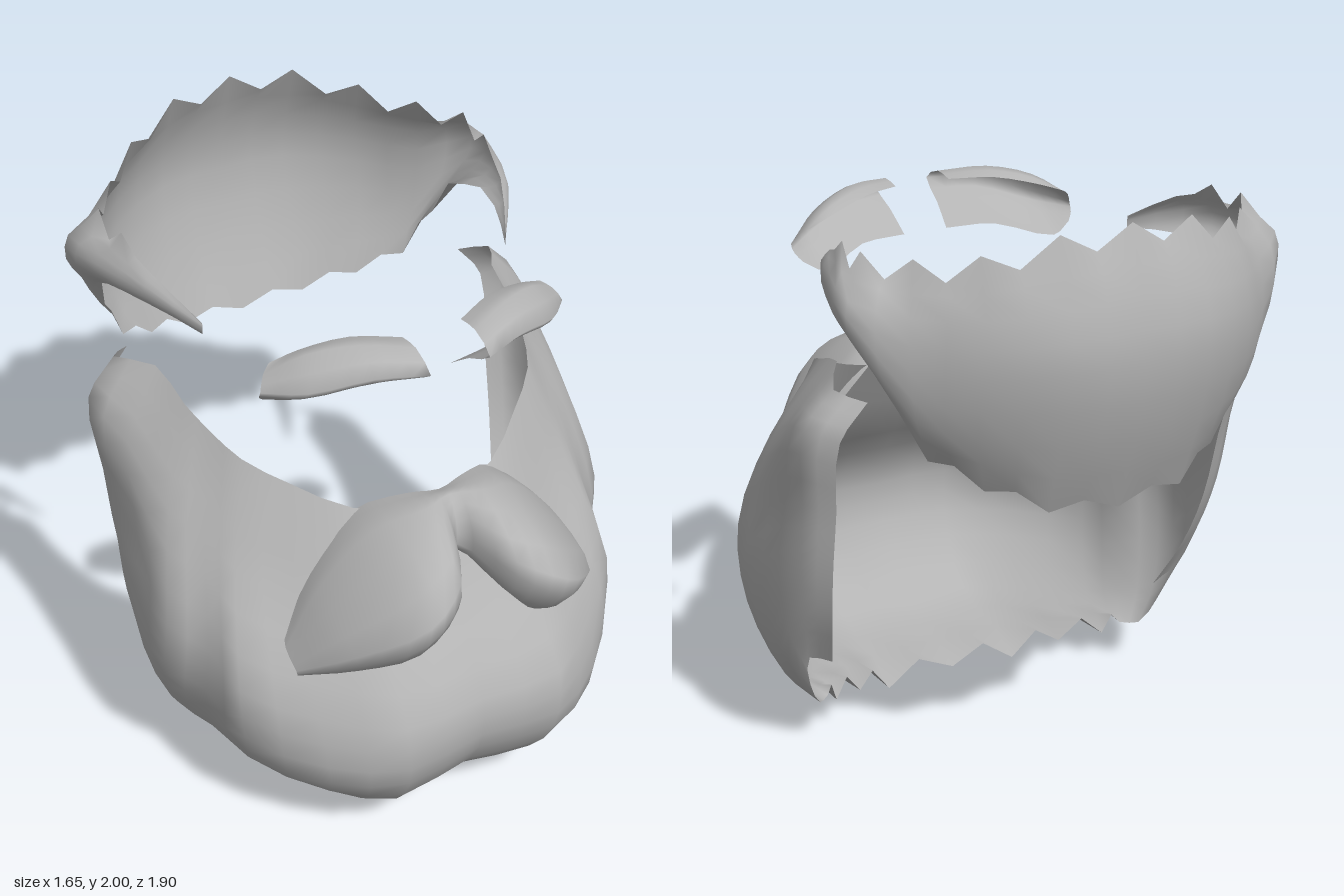
import * as THREE from 'three';

const hairGrey = new THREE.MeshStandardMaterial({ color: 0xb4b4b4, side: THREE.DoubleSide });
hairGrey.name = 'hair grey';

const V = (p) => new THREE.Vector3(...p);
const flipX = (col) => col.map(([x, y, z]) => [-x, y, z]);

// Full set of columns from the +x half (first column on the centre line)
const mirrored = (half) => [...half.slice(1).reverse().map(flipX), ...half];

// Smooth open sheet through columns of points; edge(points, i, n) may ruffle each column
function sheet(name, columns, uSteps, vSteps, { flip = false, edge } = {}) {
  const rows = columns[0].map((_, j) => new THREE.CatmullRomCurve3(columns.map((c) => V(c[j]))));
  const nu = (columns.length - 1) * uSteps, nv = (columns[0].length - 1) * vSteps;
  const pos = [], idx = [];
  for (let i = 0; i <= nu; i++) {
    const pts = new THREE.CatmullRomCurve3(rows.map((r) => r.getPoint(i / nu))).getPoints(nv);
    if (edge) edge(pts, i, nu);
    pts.forEach((p) => pos.push(p.x, p.y, p.z));
  }
  for (let i = 0; i < nu; i++) {
    for (let j = 0; j < nv; j++) {
      const a = i * (nv + 1) + j, b = a + 1, c = a + nv + 1, d = c + 1;
      idx.push(...(flip ? [a, c, b, b, c, d] : [a, b, c, b, d, c]));
    }
  }
  const g = new THREE.BufferGeometry();
  g.setAttribute('position', new THREE.Float32BufferAttribute(pos, 3));
  g.setIndex(idx);
  g.computeVertexNormals();
  const mesh = new THREE.Mesh(g, hairGrey);
  mesh.name = name;
  return mesh;
}

// Beard: columns from the chin centre round to the ear, top edge to bottom edge
const beardHalf = [
  [[0, 1.14, .54], [0, .88, .69], [0, .6, .88], [0, .38, .87], [0, .13, .66], [0, .07, .3]],
  [[.25, 1.18, .47], [.26, .88, .66], [.28, .6, .89], [.27, .36, .89], [.25, .12, .7], [.25, .05, .31]],
  [[.4, 1.25, .36], [.47, .92, .5], [.5, .6, .72], [.49, .36, .77], [.42, .14, .56], [.4, .11, .23]],
  [[.52, 1.32, .25], [.61, 1, .37], [.69, .66, .54], [.67, .38, .53], [.58, .18, .34], [.53, .15, .14]],
  [[.57, 1.37, .13], [.66, 1.08, .26], [.72, .72, .38], [.72, .45, .34], [.65, .22, .22], [.58, .16, .1]],
  [[.6, 1.41, .02], [.73, 1.13, .15], [.81, .78, .27], [.81, .52, .22], [.73, .28, .11], [.63, .17, .05]],
  [[.62, 1.46, -.15], [.76, 1.25, -.08], [.79, .95, .02], [.82, .65, .05], [.78, .42, .02], [.68, .27, .01]],
  [[.7, 1.43, -.3], [.8, 1.31, -.29], [.79, 1.05, -.24], [.78, .8, -.19], [.75, .6, -.13], [.7, .4, -.04]],
];
// Back rim of the beard, turned in behind the ear column
const beardRim = beardHalf[7].map(([x, y, z]) => [x * .89, y - .03, z * 1.25]);

// Back hair: columns from the nape centre round to the temple
const hairHalf = [
  [[0, 1.965, -.85], [0, 1.8, -.92], [0, 1.6, -.95], [0, 1.35, -.9], [0, 1.12, -.81]],
  [[.22, 1.95, -.82], [.23, 1.78, -.9], [.23, 1.6, -.93], [.24, 1.35, -.87], [.23, 1.14, -.79]],
  [[.42, 1.89, -.72], [.44, 1.75, -.79], [.46, 1.58, -.8], [.45, 1.38, -.76], [.4, 1.21, -.7]],
  [[.56, 1.86, -.57], [.6, 1.74, -.63], [.61, 1.58, -.65], [.59, 1.42, -.64], [.54, 1.3, -.61]],
  [[.66, 1.86, -.43], [.74, 1.78, -.51], [.75, 1.69, -.52], [.7, 1.6, -.53], [.62, 1.48, -.55]],
  [[.65, 1.85, -.28], [.71, 1.8, -.32], [.73, 1.74, -.33], [.7, 1.69, -.34], [.66, 1.65, -.41]],
  [[.62, 1.81, -.12], [.65, 1.78, -.12], [.65, 1.74, -.12], [.64, 1.71, -.13], [.62, 1.69, -.15]],
  [[.54, 1.71, .05], [.54, 1.7, .05], [.54, 1.69, .05], [.54, 1.68, .05], [.54, 1.67, .05]],
];

// Moustache: columns from under the nose out to the drooping tip
const moustacheHalf = [
  [[0, 1.23, .57], [0, 1.25, .63], [0, 1.17, .68], [0, 1.07, .68], [0, 1.07, .6]],
  [[.1, 1.23, .54], [.1, 1.25, .66], [.1, 1.12, .88], [.1, .97, .84], [.1, .98, .68]],
  [[.25, 1.16, .46], [.25, 1.18, .6], [.24, 1.05, .95], [.23, .82, .8], [.25, .86, .67]],
  [[.41, .99, .47], [.42, 1, .57], [.42, .9, .81], [.37, .755, .71], [.36, .8, .6]],
  [[.53, .82, .54], [.54, .8, .57], [.54, .76, .64], [.53, .73, .63], [.51, .74, .59]],
];

// Eyebrow: columns from the inner end to the outer end
const brow = [
  [[.1, 1.785, .5], [.1, 1.795, .58], [.1, 1.75, .67], [.09, 1.69, .57], [.08, 1.62, .48]],
  [[.24, 1.79, .43], [.25, 1.81, .51], [.25, 1.75, .61], [.25, 1.69, .54], [.25, 1.62, .45]],
  [[.38, 1.76, .38], [.39, 1.78, .44], [.42, 1.7, .52], [.43, 1.64, .45], [.43, 1.58, .35]],
  [[.47, 1.73, .36], [.5, 1.71, .38], [.525, 1.67, .41], [.52, 1.64, .39], [.5, 1.615, .37]],
];

// Tufted lower edge of the beard
function beardTufts(pts, i, n) {
  const k = Math.abs(i - n / 2), p = pts[pts.length - 1];
  if (k < 8) p.y += k % 2 ? .03 : -.04;
  if (k === 2) p.y = 0;
}

// Pointed tufts along the crown edge and a gently ragged nape
function hairTufts(pts, i, n) {
  const k = Math.abs(i - n / 2), up = k % 2 === 0;
  if (k < 11) {
    pts[0].y += up ? .035 : -.035;
    pts[pts.length - 1].y += up ? -.02 : .02;
  }
  pts[0].y = Math.min(2, pts[0].y);
}

export function createModel() {
  const group = new THREE.Group();
  group.name = 'hairAndBeard';
  group.add(
    sheet('beard', mirrored([...beardHalf, beardRim]), 2, 3, { edge: beardTufts }),
    sheet('backHair', mirrored(hairHalf), 2, 2, { flip: true, edge: hairTufts }),
    sheet('moustache', mirrored(moustacheHalf), 3, 3),
    sheet('leftEyebrow', brow, 3, 2),
    sheet('rightEyebrow', [...brow].reverse().map(flipX), 3, 2),
  );
  return group;
}
